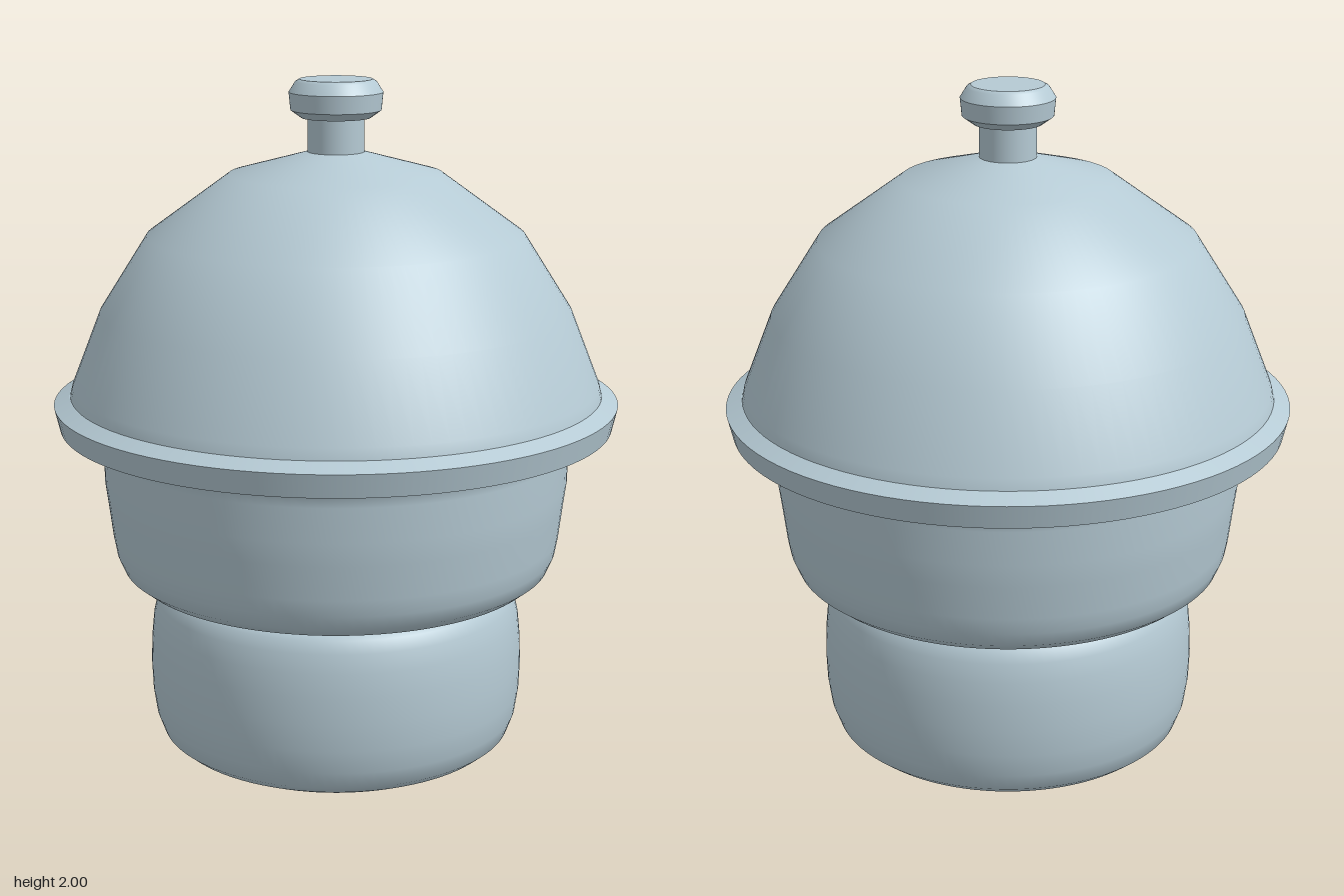
import * as THREE from 'three';

export function createModel() {
  const model = new THREE.Group();
  const glaze = new THREE.MeshStandardMaterial({ color: 0xb5cad4 });
  glaze.name = 'paleBlueGlaze';

  // Each run of [radius, height] points is smooth; edges between runs stay sharp.
  function turned(name, ...runs) {
    const part = new THREE.Group();
    part.name = name;
    runs.forEach((run, i) => {
      const points = run.map(([r, y]) => new THREE.Vector2(r, y));
      const mesh = new THREE.Mesh(new THREE.LatheGeometry(points, 96), glaze);
      mesh.name = `${name}Surface${i + 1}`;
      part.add(mesh);
    });
    model.add(part);
  }

  // Rounded drum foot with a flat underside
  turned('foot',
    [[0, 0], [0.46, 0]],
    [[0.46, 0], [0.46, 0.012], [0.5, 0.02], [0.53, 0.045], [0.55, 0.1], [0.56, 0.17], [0.563, 0.25],
      [0.56, 0.33], [0.553, 0.4], [0.54, 0.455], [0.525, 0.49], [0.505, 0.507], [0.47, 0.515]]);

  // Bowl flaring out under its rim
  turned('bowl',
    [[0, 0.51], [0.5, 0.51]],
    [[0.5, 0.51], [0.55, 0.52], [0.605, 0.537], [0.64, 0.565], [0.659, 0.61], [0.668, 0.66], [0.68, 0.76],
      [0.689, 0.83], [0.69, 0.93], [0.695, 0.965], [0.71, 0.985], [0.74, 0.995], [0.77, 0.996]],
    [[0.77, 0.996], [0.815, 0.996]]);

  // Projecting rim where lid and bowl meet
  turned('rim',
    [[0.815, 0.996], [0.831, 1.065]],
    [[0.831, 1.065], [0.785, 1.088]],
    [[0.785, 1.088], [0.76, 1.088]]);

  // Domed lid with a few broad steps in its curve
  turned('lid',
    [[0.783, 1.087], [0.775, 1.12], [0.69, 1.335], [0.55, 1.555], [0.31, 1.73], [0.08, 1.793]],
    [[0.08, 1.793], [0, 1.793]]);

  // Lid knob on a short stem
  turned('knob',
    [[0.082, 1.785], [0.082, 1.89]],
    [[0.082, 1.89], [0.1, 1.89]],
    [[0.1, 1.89], [0.131, 1.912]],
    [[0.131, 1.912], [0.136, 1.963]],
    [[0.136, 1.963], [0.117, 1.993], [0.105, 2]],
    [[0.105, 2], [0, 2]]);

  return model;
}
